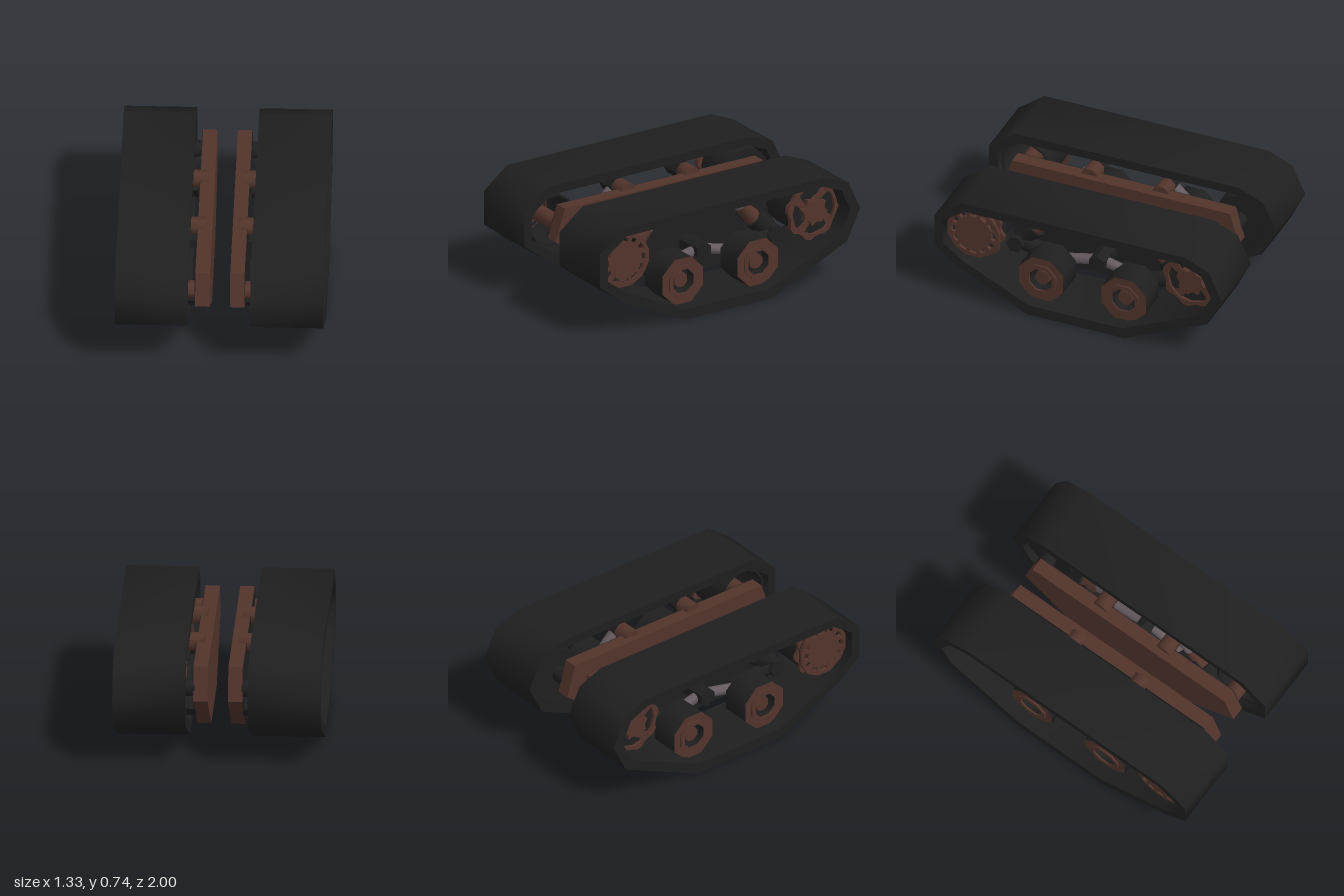
import * as THREE from 'three';
import { toCreasedNormals } from 'three/addons/utils/BufferGeometryUtils.js';

const mat = (name, color) => {
  const m = new THREE.MeshStandardMaterial({ color });
  m.name = name;
  return m;
};

// Polygon as [z, y] points; r may be a list of radii that repeats (teeth, stars)
function ring(cz, cy, r, n, phase = 0) {
  const radii = Array.isArray(r) ? r : [r];
  return Array.from({ length: n }, (_, i) => {
    const a = phase + (i / n) * Math.PI * 2, q = radii[i % radii.length];
    return [cz + q * Math.cos(a), cy + q * Math.sin(a)];
  });
}

// Side profile in (z, y) extruded along x from x0 to x1
function slab(points, x0, x1, holes = []) {
  const v = (list) => list.map(([z, y]) => new THREE.Vector2(-z, y)).reverse();
  const shape = new THREE.Shape(v(points));
  holes.forEach((h) => shape.holes.push(new THREE.Path(v(h))));
  const g = new THREE.ExtrudeGeometry(shape, { depth: x1 - x0, bevelEnabled: false });
  return g.rotateY(Math.PI / 2).translate(x0, 0, 0);
}

// Rod between two [z, y] points at a fixed x
function rod(a, b, x, ra, rb = ra) {
  const p = new THREE.Vector3(x, a[1], a[0]), q = new THREE.Vector3(x, b[1], b[0]);
  const d = q.clone().sub(p);
  const g = new THREE.CylinderGeometry(rb, ra, d.length(), 8).toNonIndexed();
  g.clearGroups();
  g.applyQuaternion(new THREE.Quaternion().setFromUnitVectors(new THREE.Vector3(0, 1, 0), d.normalize()));
  return g.translate(...p.add(q).multiplyScalar(0.5).toArray());
}

// Mirror across x = 0, keeping faces outward
function mirrored(geo) {
  const g = geo.clone().scale(-1, 1, 1);
  const p = g.attributes.position;
  const a = new THREE.Vector3(), b = new THREE.Vector3();
  for (let i = 0; i < p.count; i += 3) {
    a.fromBufferAttribute(p, i + 1);
    b.fromBufferAttribute(p, i + 2);
    p.setXYZ(i + 1, b.x, b.y, b.z);
    p.setXYZ(i + 2, a.x, a.y, a.z);
  }
  return g;
}

export function createModel() {
  const black = mat('blackRubber', 0x1f1f1f);
  const brown = mat('brownMetal', 0x52342b);
  const grey = mat('greyRod', 0x645a5f);
  const model = new THREE.Group();
  model.name = 'trackedChassis';
  const left = new THREE.Group(), right = new THREE.Group();
  left.name = 'leftTrackUnit';
  right.name = 'rightTrackUnit';
  model.add(left, right);

  // Shallow corners are smooth, corners over 57 degrees stay sharp
  const add = (name, geo, material) => {
    [[left, geo], [right, mirrored(geo)]].forEach(([group, g]) => {
      const m = new THREE.Mesh(toCreasedNormals(g, 1), material);
      m.name = name;
      group.add(m);
    });
  };

  // Track belt
  const outer = [[0.82, 0.73], [-0.74, 0.735], [-0.91, 0.665], [-1, 0.47], [-0.9, 0.265],
    [-0.32, 0], [0.36, 0], [0.83, 0.23], [1, 0.36], [1, 0.59]];
  const inner = [[0.79, 0.67], [-0.72, 0.677], [-0.86, 0.618], [-0.925, 0.47], [-0.85, 0.315],
    [-0.305, 0.07], [0.345, 0.07], [0.8, 0.285], [0.94, 0.39], [0.94, 0.565]];
  add('trackBelt', slab(outer, 0.2, 0.665, [inner]), black);

  // Inner side frame with a dark outer face
  const frame = [[0.78, 0.617], [0.85, 0.4], [0.38, 0.083], [-0.33, 0.083], [-0.8, 0.4], [-0.74, 0.617]];
  add('sideFrame', slab(frame, 0.065, 0.157), brown);
  add('frameOuterFace', slab(frame, 0.157, 0.161), black);

  // Front drive drum: slotted plate, hollow drum, toothed ring
  const [dz, dy] = [0.76, 0.475];
  const slots = [];
  for (let i = 0; i < 12; i++) {
    const a = (i / 12) * Math.PI * 2, h = 0.17;
    slots.push([[0.124, -h], [0.152, -h], [0.156, 0], [0.152, h], [0.124, h], [0.128, 0]]
      .map(([r, t]) => [dz + r * Math.cos(a + t), dy + r * Math.sin(a + t)]));
  }
  const drumBore = ring(dz, dy, 0.162, 12, Math.PI / 12);
  add('drivePlate', slab(ring(dz, dy, 0.185, 12, Math.PI / 12), 0.575, 0.6, slots), brown);
  add('driveDrum', slab(ring(dz, dy, 0.175, 12, Math.PI / 12), 0.24, 0.575, [drumBore]), black);
  add('driveTeeth', slab(ring(dz, dy, [0.2, 0.2, 0.178, 0.178], 40), 0.535, 0.56, [drumBore]), brown);
  add('driveAxle', slab(ring(dz, dy, 0.057, 10), 0.15, 0.575), brown);

  // Rear idler: toothed rim, dark drum, swept vanes and star hub
  const [iz, iy] = [-0.73, 0.47];
  const idlerTeeth = ring(iz, iy, [0.2, 0.2, 0.18, 0.18], 32, 0.1);
  add('idlerRim', slab(idlerTeeth, 0.5, 0.535, [ring(iz, iy, 0.162, 12)]), brown);
  add('idlerDrum', slab(ring(iz, iy, 0.17, 12), 0.24, 0.515), black);
  for (let i = 0; i < 4; i++) {
    const a = 0.4 + (i / 4) * Math.PI * 2;
    const vane = [[0.08, -0.2], [0.164, 0.05], [0.164, 0.45], [0.08, 0.3]]
      .map(([r, t]) => [iz + r * Math.cos(a + t), iy + r * Math.sin(a + t)]);
    add('idlerVane', slab(vane, 0.513, 0.523), brown);
  }
  add('idlerStarHub', slab(ring(iz, iy, [0.1, 0.075], 16, 0.2), 0.51, 0.55), brown);
  add('idlerAxle', slab(ring(iz, iy, 0.055, 10), 0.15, 0.25), black);

  // Road wheels
  const wheels = [[0.3, 0.225], [-0.277, 0.225]];
  wheels.forEach(([z, y]) => {
    const oct = (r) => ring(z, y, r, 8, Math.PI / 8);
    add('roadWheel', slab(oct(0.167), 0.37, 0.57, [oct(0.085)]), [brown, black]);
    add('wheelLip', slab(oct(0.115), 0.57, 0.582, [oct(0.085)]), brown);
    add('wheelWeb', slab(oct(0.087), 0.4, 0.5), black);
    add('wheelHub', slab(oct(0.052), 0.5, 0.55), brown);
    add('wheelAxle', slab(oct(0.045), 0.24, 0.4), black);
  });

  // Suspension: pivots, shock absorbers, swing arms and centre links
  const hub = [0, 0.295];
  add('centrePivot', slab(ring(...hub, 0.06, 6, Math.PI / 6), 0.15, 0.37), black);
  [[0.262, 0.577], [-0.235, -0.562]].forEach(([topZ, lowZ], i) => {
    const top = [topZ, 0.605], low = [lowZ, 0.285], wheel = wheels[i];
    const at = (t) => [top[0] + (low[0] - top[0]) * t, top[1] + (low[1] - top[1]) * t];
    add('upperPin', slab(ring(...top, 0.058, 8, Math.PI / 8), 0.11, 0.22), brown);
    add('upperPivot', slab(ring(...top, 0.06, 6), 0.22, 0.36), black);
    add('lowerPivot', slab(ring(...low, 0.06, 6), 0.15, 0.36), black);
    add('shockRod', rod(at(0.05), at(0.5), 0.26, 0.04), grey);
    add('shockCollar', rod(at(0.34), at(0.68), 0.26, 0.04, 0.058), brown);
    add('shockSleeve', rod(at(0.64), at(1), 0.26, 0.072), black);
    // Flat bracket beside the sleeve
    const side = Math.sign(topZ), w = 0.05;
    const bracket = [[0.48, 1], [1, 1], [1, -1], [0.48, -1]].map(([t, s]) => {
      const [z, y] = at(t);
      return [z + s * w * side * 0.7, y + s * w * 0.7];
    });
    add('shockBracket', slab(bracket, 0.182, 0.215), black);
    add('swingArm', rod(low, wheel, 0.29, 0.055, 0.05), black);
    add('centreLink', rod(hub, wheel, 0.3, 0.035), grey);
  });

  return model;
}
